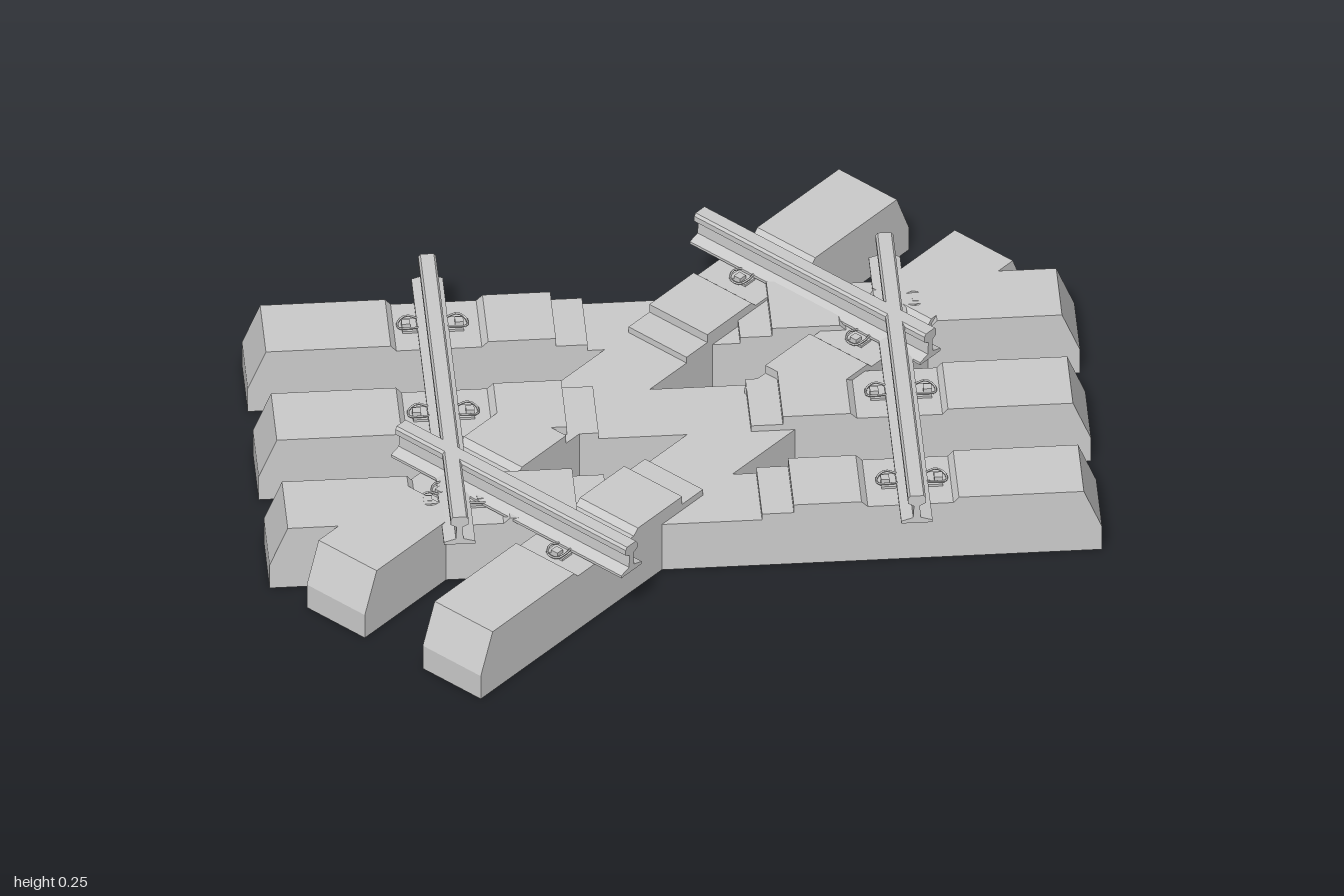
import * as THREE from 'three';

const material = new THREE.MeshStandardMaterial({ color: 0xcccccc, flatShading: true });
const GAUGE = 0.54; // half distance between a track's rails
const SEAT = 0.16; // height of the rail seats

function part(name, geometry, x = 0, y = 0, z = 0) {
  const mesh = new THREE.Mesh(geometry, material);
  mesh.name = name;
  mesh.position.set(x, y, z);
  return mesh;
}

// Extrude a profile along z, centred
function prism(points, length) {
  const shape = new THREE.Shape(points.map(([x, y]) => new THREE.Vector2(x, y)));
  const geometry = new THREE.ExtrudeGeometry(shape, { depth: length, bevelEnabled: false });
  return geometry.translate(0, 0, -length / 2);
}

// Mirror the right half of a profile (listed bottom to top)
function mirrored(half) {
  return [...half, ...half.map(([x, y]) => [-x, y]).reverse()];
}

// Sleeper: bevelled ends, lowered rail seats, stepped-down middle
const sleeperProfile = mirrored([
  [0.983, 0], [0.983, 0.068], [0.94, 0.175], [0.645, 0.175], [0.632, SEAT],
  [0.43, SEAT], [0.415, 0.175], [0.255, 0.175], [0.255, 0.152], [0.18, 0.152], [0.18, 0.135],
]);

// Rail: wide foot, thin web, narrow head
const railProfile = mirrored([
  [0.037, 0], [0.037, 0.007], [0.009, 0.016], [0.007, 0.05],
  [0.021, 0.058], [0.021, 0.073], [0.016, 0.08],
]);

// Bolted plate and bent spring clip on one side of a rail
function fastener(side) {
  const group = new THREE.Group();
  group.name = 'railFastener';
  group.add(part('clipPlate', new THREE.BoxGeometry(0.035, 0.006, 0.05), side * 0.055, 0.003));
  group.add(part('bolt', new THREE.BoxGeometry(0.02, 0.016, 0.02), side * 0.063, 0.008));
  const curve = new THREE.CatmullRomCurve3([
    [0.035, 0.011, -0.018], [0.06, 0.015, -0.025], [0.08, 0.008, -0.014],
    [0.08, 0.008, 0.014], [0.06, 0.015, 0.025], [0.035, 0.011, 0.018],
  ].map(([x, y, z]) => new THREE.Vector3(side * x, y, z)));
  group.add(part('springClip', new THREE.TubeGeometry(curve, 12, 0.003, 5)));
  return group;
}

// Two rails along z on sleepers along x
function track(name, sleeperZ, railLength) {
  const group = new THREE.Group();
  group.name = name;
  for (const z of sleeperZ) {
    group.add(part('sleeper', prism(sleeperProfile, 0.18), 0, 0, z));
    for (const x of [-GAUGE, GAUGE]) {
      for (const side of [-1, 1]) {
        const clip = fastener(side);
        clip.position.set(x, SEAT, z);
        group.add(clip);
      }
    }
  }
  for (const x of [-GAUGE, GAUGE]) {
    group.add(part('rail', prism(railProfile, railLength), x, SEAT + 0.005, 0));
  }
  return group;
}

export function createModel() {
  const model = new THREE.Group();
  model.name = 'railCrossing';

  const straight = track('straightTrack', [-0.18, 0.18], 0.715);
  straight.position.set(-0.0155, 0, -0.006);
  model.add(straight);

  const diagonal = track('diagonalTrack', [-0.34, 0, 0.34], 1.015);
  diagonal.rotation.y = -Math.PI / 4;
  model.add(diagonal);

  return model;
}
